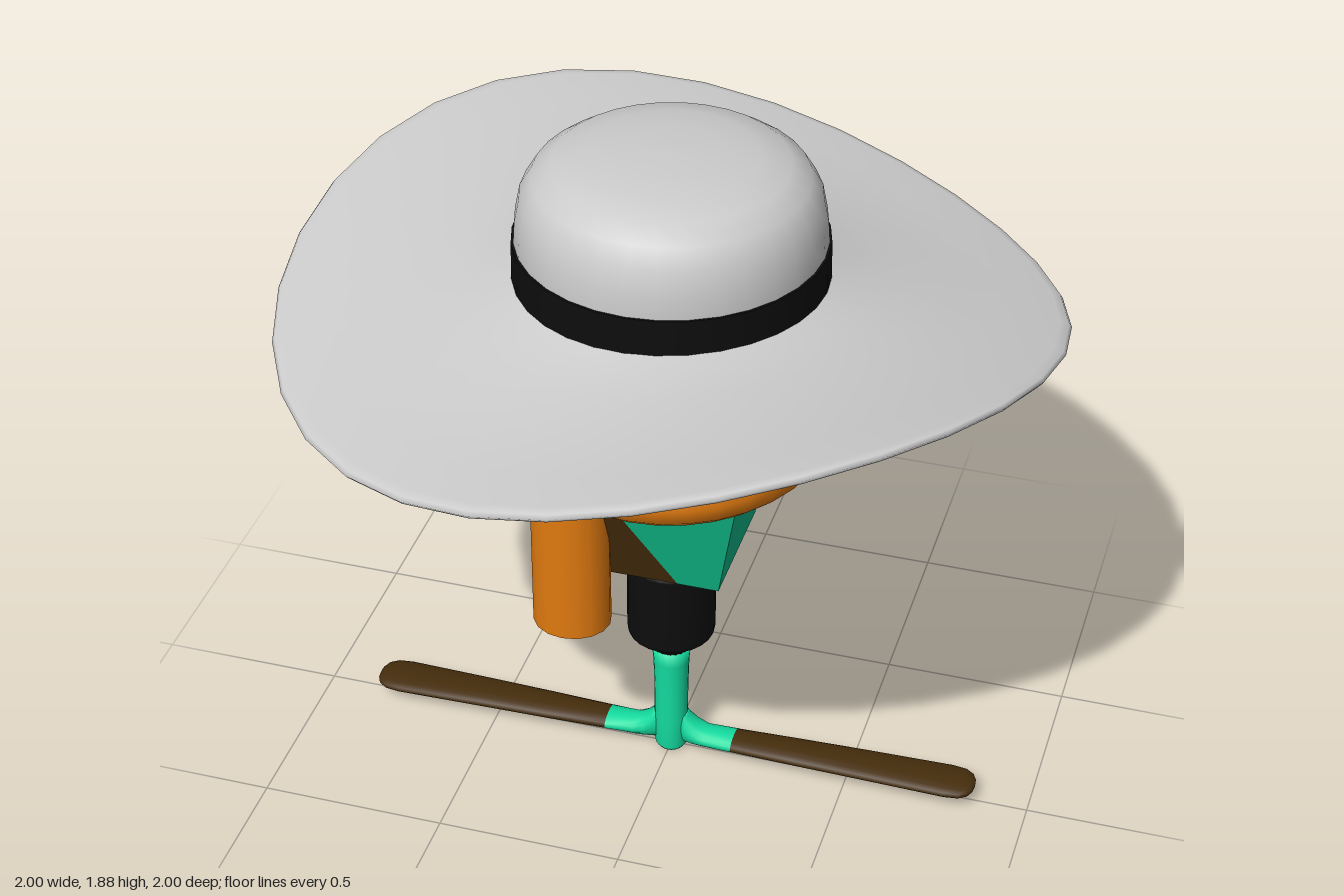
import * as THREE from 'three';
import { mergeVertices } from 'three/addons/utils/BufferGeometryUtils.js';

const mat = (color, extra = {}) => new THREE.MeshStandardMaterial({ color, ...extra });
const V2 = (pts) => pts.map(([x, y]) => new THREE.Vector2(x, y));

// Smooth skin over rings of points; wrap joins the last ring to the first.
function loft(rings, wrap = false) {
  const n = rings[0].length, m = rings.length, index = [];
  for (let i = 0; i < (wrap ? m : m - 1); i++) {
    for (let j = 0; j < n; j++) {
      const a = i * n + j, b = i * n + (j + 1) % n;
      const k = ((i + 1) % m) * n, c = k + j, d = k + (j + 1) % n;
      index.push(a, c, d, a, d, b);
    }
  }
  const geo = new THREE.BufferGeometry();
  geo.setAttribute('position', new THREE.Float32BufferAttribute(rings.flat(2), 3));
  geo.setIndex(index);
  geo.computeVertexNormals();
  return geo;
}

// Flat convex polygons, each fanned from its first corner.
function panels(polys) {
  const pos = [];
  for (const p of polys) {
    for (let i = 1; i < p.length - 1; i++) pos.push(...p[0], ...p[i], ...p[i + 1]);
  }
  const geo = new THREE.BufferGeometry();
  geo.setAttribute('position', new THREE.Float32BufferAttribute(pos, 3));
  geo.computeVertexNormals();
  return geo;
}

// Elliptical ring across the x axis.
const ellipse = ([x, y, hy, hz], n = 16) => Array.from({ length: n }, (_, j) => {
  const b = (j / n) * Math.PI * 2;
  return [x, y + hy * Math.sin(b), hz * Math.cos(b)];
});

export function createModel() {
  const group = new THREE.Group();
  const add = (name, geo, material) => {
    const mesh = new THREE.Mesh(geo, material);
    mesh.name = name;
    group.add(mesh);
    return mesh;
  };
  const grey = mat(0xcccccc), black = mat(0x0d0d0d), orange = mat(0xe07a10);
  const mint = mat(0x14dca0), brown = mat(0x452d0c);
  const flat = { flatShading: true, side: THREE.DoubleSide };

  // Hat brim: a disc bent into a saddle, raised where x and z share a sign
  const brim = new THREE.LatheGeometry(V2([
    [0.3, 1.5], [0.42, 1.495], [0.55, 1.48], [0.7, 1.467], [0.85, 1.46], [0.97, 1.458], [0.993, 1.463],
    [1, 1.473], [0.993, 1.483], [0.97, 1.488], [0.85, 1.488], [0.7, 1.495], [0.55, 1.51], [0.45, 1.528], [0.38, 1.55],
  ]), 32);
  brim.deleteAttribute('normal');
  brim.deleteAttribute('uv');
  const p = brim.attributes.position;
  for (let i = 0; i < p.count; i++) {
    const x = p.getX(i), z = p.getZ(i), r = Math.hypot(x, z);
    const lift = Math.pow(Math.max(0, (r - 0.35) / 0.65), 1.2);
    p.setY(i, p.getY(i) + 0.115 * lift * 2 * x * z / (r * r));
  }
  const brimSmooth = mergeVertices(brim);
  brimSmooth.computeVertexNormals();
  add('hatBrim', brimSmooth, grey);

  // Crown and its band
  add('hatCrown', new THREE.LatheGeometry(V2([
    [0.39, 1.52], [0.392, 1.64], [0.388, 1.7], [0.375, 1.765], [0.345, 1.815],
    [0.295, 1.85], [0.22, 1.87], [0.12, 1.882], [0, 1.885],
  ]), 32), grey);
  const band = add('hatBand', new THREE.CylinderGeometry(0.398, 0.4, 0.12, 32), black);
  band.position.y = 1.582;

  // Head with a visor panel and a glowing slit on its surface
  const headPart = (name, r, material, ...arc) => {
    add(name, new THREE.SphereGeometry(r, 32, 20, ...arc), material).position.y = 1.39;
  };
  headPart('head', 0.36, grey);
  headPart('visor', 0.364, black, 1.29, 0.475, 1.2, 0.62);
  headPart('eyeSlit', 0.367, mat(0xd01010), 1.46, 0.11, 1.25, 0.485);

  // Scarf: ring that grows thicker towards the back
  const scarf = [];
  for (let i = 0; i < 32; i++) {
    const a = (i / 32) * Math.PI * 2, back = (1 - Math.cos(a)) / 2;
    const ring = [];
    const h = 0.075 + 0.04 * back, w = 0.085 + 0.025 * back;
    for (let j = 0; j < 12; j++) {
      const b = (j / 12) * Math.PI * 2;
      const c = Math.sign(Math.cos(b)) * Math.pow(Math.abs(Math.cos(b)), 0.85) * w;
      const s = Math.sign(Math.sin(b)) * Math.pow(Math.abs(Math.sin(b)), 0.85) * h;
      ring.push([(0.313 + c) * Math.sin(a), 1.085 + 0.02 * back + s, (0.322 + c) * Math.cos(a) - 0.027 * (1 - Math.cos(a)) / 2]);
    }
    scarf.push(ring);
  }
  add('scarfRing', loft(scarf, true), orange);

  // Hanging scarf tail
  const tail = new THREE.Group();
  tail.name = 'scarfTail';
  const tube = new THREE.Mesh(new THREE.CylinderGeometry(0.104, 0.104, 0.46, 16), orange);
  tube.name = 'tailTube';
  tube.position.y = 0.79;
  const knot = new THREE.Mesh(new THREE.SphereGeometry(0.104, 16, 6, 0, Math.PI * 2, 0, Math.PI / 2), orange);
  knot.name = 'tailTop';
  knot.position.y = 1.02;
  knot.scale.y = 0.55;
  tail.add(tube, knot);
  tail.position.set(-0.206, 0, 0.22);
  tail.scale.z = 0.9;
  group.add(tail);

  // Tapered faceted body, split into a green and a brown portion
  const T = 1.04, B = 0.7;
  const tA = [-0.25, T, 0.28], tB = [0.25, T, 0.28], tC = [0.25, T, -0.205], tD = [-0.25, T, -0.205];
  const bA = [-0.18, B, 0.18], bB = [0.18, B, 0.18], bC = [0.18, B, -0.18], bD = [-0.18, B, -0.18];
  const frontTop = [-0.12, T, 0.28], frontLow = [0.07, B, 0.18];
  const backTop = [0.01, T, -0.205], backMid = [-0.08, 0.86, -0.192], backLow = [0, B, -0.18];
  add('bodyGreen', panels([
    [frontTop, frontLow, bB, tB],
    [tB, bB, bC, tC],
    [tC, bC, backLow, backMid, backTop],
    [frontLow, backLow, bC, bB],
    [frontTop, tB, tC, backTop],
  ]), mat(0x10c08c, flat));
  add('bodyBrown', panels([
    [tA, bA, frontLow, frontTop],
    [tD, bD, bA, tA],
    [backMid, backLow, bD, tD, backTop],
    [bA, bD, backLow, frontLow],
    [tA, frontTop, backTop, tD],
  ]), mat(0x452d0c, flat));

  // Motor housing and rotor shaft
  add('motorHousing', new THREE.LatheGeometry(V2([
    [0, 0.348], [0.053, 0.348], [0.06, 0.37], [0.08, 0.395], [0.105, 0.4], [0.116, 0.408], [0.119, 0.42],
    [0.119, 0.64], [0.116, 0.652], [0.105, 0.659], [0, 0.66],
  ]), 24), black);
  add('rotorShaft', new THREE.LatheGeometry(V2([
    [0, 0], [0.036, 0], [0.044, 0.012], [0.046, 0.1], [0.046, 0.2], [0.049, 0.3], [0.054, 0.352], [0, 0.352],
  ]), 20), mint);

  // Rotor hub arms, flaring into the shaft
  const half = [
    [0.18, 0.048, 0.022, 0.046], [0.1, 0.048, 0.027, 0.04], [0.07, 0.056, 0.036, 0.04],
    [0.05, 0.066, 0.048, 0.036], [0.035, 0.078, 0.062, 0.028],
  ];
  const hub = [...half.map(([x, ...s]) => [-x, ...s]), ...half.slice().reverse()];
  add('rotorHub', loft(hub.map((s) => ellipse(s))), mint);

  // Two flat blades, widening to rounded tips
  const blade = loft([
    [0.17, 0.048, 0.001, 0.001], [0.172, 0.048, 0.0215, 0.045], [0.35, 0.049, 0.021, 0.052],
    [0.54, 0.05, 0.02, 0.058], [0.78, 0.05, 0.018, 0.065], [0.82, 0.05, 0.017, 0.06],
    [0.842, 0.05, 0.014, 0.045], [0.852, 0.05, 0.008, 0.025], [0.855, 0.05, 0.001, 0.001],
  ].map((s) => ellipse(s)));
  for (const side of [0, 1]) {
    add(side ? 'rightBlade' : 'leftBlade', blade, brown).rotation.y = side * Math.PI;
  }

  return group;
}
